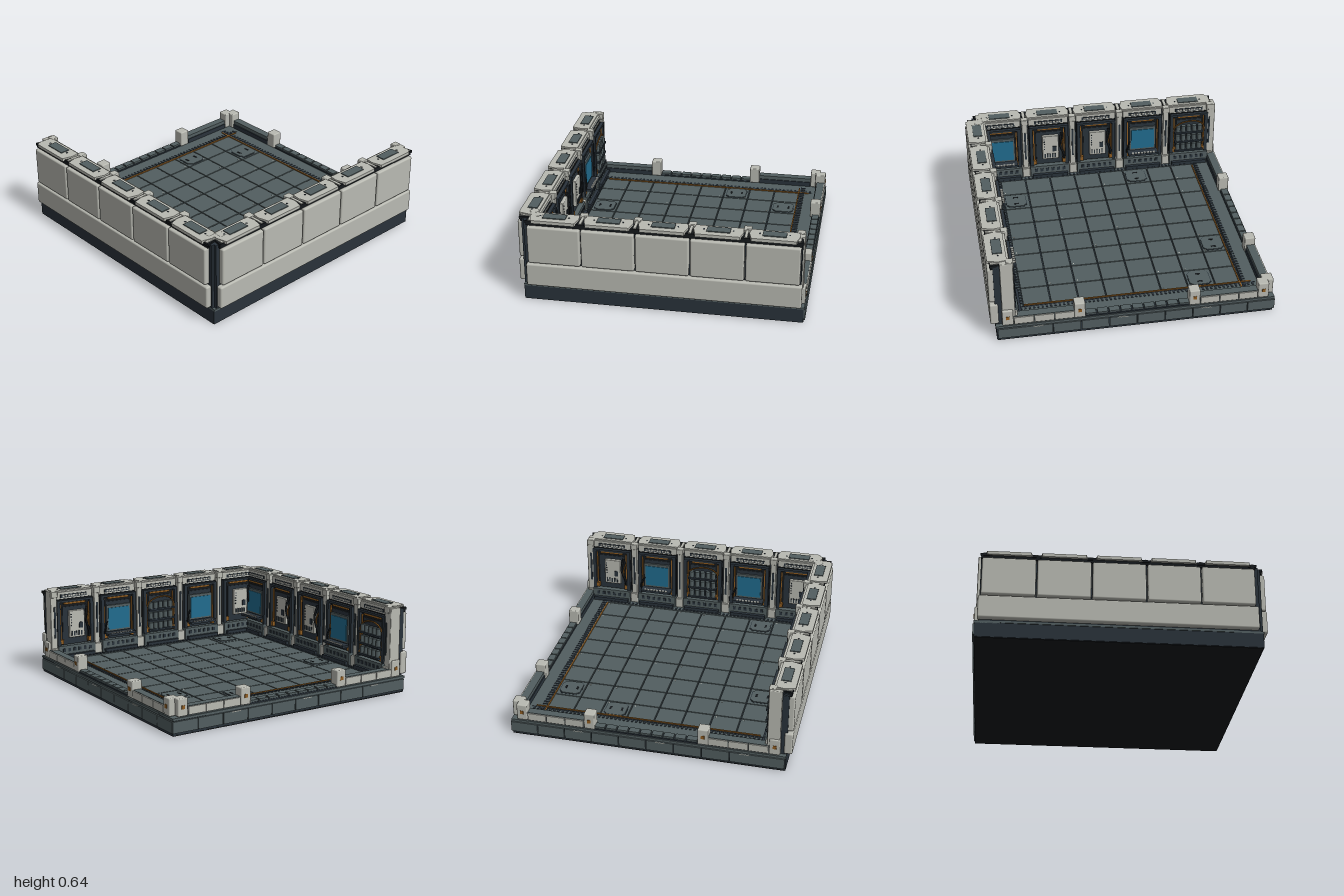
import * as THREE from 'three';
import { RoundedBoxGeometry } from 'three/addons/geometries/RoundedBoxGeometry.js';

const mat = (name, color) => {
  const m = new THREE.MeshStandardMaterial({ color });
  m.name = name;
  return m;
};
const light = mat('paleShell', 0xb9bab2);
const grey = mat('deckGrey', 0x525e60);
const navy = mat('darkFrame', 0x29323a);
const black = mat('blackRubber', 0x15191c);
const orange = mat('orangeCable', 0x8f5d22);
const blue = mat('screenBlue', 0x216c8e);

function add(parent, name, geo, material) {
  const mesh = new THREE.Mesh(geo, material);
  mesh.name = name;
  parent.add(mesh);
  return mesh;
}
// Box between two corners; r > 0 rounds its edges
function box(parent, name, m, x0, x1, y0, y1, z0, z1, r = 0) {
  const w = x1 - x0, h = y1 - y0, d = z1 - z0;
  const geo = r ? new RoundedBoxGeometry(w, h, d, 2, r) : new THREE.BoxGeometry(w, h, d);
  const mesh = add(parent, name, geo, m);
  mesh.position.set((x0 + x1) / 2, (y0 + y1) / 2, (z0 + z1) / 2);
  return mesh;
}
// Flat polygon in plan (x, z), extruded up from y0 to y1
function slab(parent, name, m, pts, y0, y1) {
  const shape = new THREE.Shape(pts.map(([x, z]) => new THREE.Vector2(x, -z)));
  const geo = new THREE.ExtrudeGeometry(shape, { depth: y1 - y0, bevelEnabled: false });
  geo.rotateX(-Math.PI / 2);
  add(parent, name, geo, m).position.y = y0;
}
function cable(parent, name, m, pts, r) {
  const curve = new THREE.CatmullRomCurve3(pts.map(p => new THREE.Vector3(...p)));
  add(parent, name, new THREE.TubeGeometry(curve, 16, r, 6), m);
}

// ---- Bay contents, in wall space: outside is +z, room is toward -z ----
function screenBay(g) {
  box(g, 'screenFrame', grey, -0.105, 0.105, 0.275, 0.48, 0.822, 0.84);
  box(g, 'screen', blue, -0.092, 0.092, 0.29, 0.46, 0.817, 0.822);
  box(g, 'keyboardDesk', navy, -0.12, 0.12, 0.25, 0.268, 0.765, 0.84);
  for (let i = 0; i < 8; i++) {
    const x = -0.084 + i * 0.024;
    box(g, 'key', light, x - 0.008, x + 0.008, 0.268, 0.273, 0.768, 0.785);
  }
  cable(g, 'sideCable', black, [[0.13, 0.23, 0.83], [0.125, 0.3, 0.81], [0.1, 0.36, 0.82]], 0.007);
}
function panelBay(g) {
  box(g, 'cabinetDoor', light, -0.075, 0.055, 0.27, 0.48, 0.812, 0.84, 0.006);
  box(g, 'doorWindow', navy, -0.055, -0.025, 0.34, 0.385, 0.807, 0.812);
  for (let i = 0; i < 5; i++) {
    const x = -0.05 + i * 0.02;
    box(g, 'doorVent', navy, x, x + 0.01, 0.285, 0.32, 0.808, 0.812);
    box(g, 'doorStud', navy, 0.035, 0.043, 0.36 + i * 0.022, 0.368 + i * 0.022, 0.808, 0.812);
  }
  cable(g, 'hangingCable', black, [[-0.1, 0.5, 0.825], [-0.085, 0.4, 0.81], [-0.115, 0.3, 0.82], [-0.11, 0.23, 0.83]], 0.009);
  cable(g, 'orangeHose', orange, [[-0.12, 0.46, 0.83], [-0.1, 0.38, 0.815], [-0.125, 0.26, 0.83]], 0.006);
}
function shelfBay(g) {
  for (let r = 0; r < 3; r++) {
    const y = 0.235 + r * 0.082;
    box(g, 'rackShelf', navy, -0.115, 0.115, y, y + 0.014, 0.795, 0.84);
    for (let i = 0; i < 5; i++) {
      const can = add(g, 'canister', new THREE.CylinderGeometry(0.018, 0.018, 0.05, 10), grey);
      can.position.set(-0.088 + i * 0.044, y + 0.039, 0.818);
    }
  }
  cable(g, 'archCable', orange, [[-0.12, 0.27, 0.825], [-0.115, 0.46, 0.82], [-0.05, 0.5, 0.815],
    [0.06, 0.49, 0.815], [0.115, 0.45, 0.82], [0.12, 0.27, 0.825]], 0.006);
}

function makeWall(name, c, bays) {
  const w = new THREE.Group();
  w.name = name;
  const a = c - 0.94, b = c + 0.94;
  box(w, 'wallCore', navy, a - 0.02 * (c > 0), b + 0.02 * (c < 0), 0.12, 0.612, 0.865, 0.96);
  box(w, 'lowerArmour', light, a - 0.01, b + 0.01, 0.13, 0.297, 0.94, 0.998, 0.012);
  box(w, 'topBand', black, a, b, 0.588, 0.612, 0.9, 0.975);
  bays.forEach((fill, i) => {
    const g = new THREE.Group();
    g.name = 'wallBay';
    g.position.x = c + (i - 2) * 0.375;
    w.add(g);
    // Outer armour and trapezoid roof cap
    box(g, 'upperArmour', light, -0.183, 0.183, 0.307, 0.585, 0.94, 0.998, 0.012);
    slab(g, 'roofCap', light, [[-0.16, 0.86], [0.16, 0.86], [0.17, 0.92], [0.15, 0.993], [-0.15, 0.993], [-0.17, 0.92]], 0.612, 0.635);
    box(g, 'roofPlate', grey, -0.08, 0.08, 0.635, 0.641, 0.882, 0.95);
    for (const x of [-0.1, 0.1]) box(g, 'roofBolt', navy, x - 0.005, x + 0.005, 0.635, 0.638, 0.91, 0.92);
    // Header with slot
    box(g, 'header', light, -0.155, 0.155, 0.572, 0.625, 0.845, 0.87);
    box(g, 'headerSlot', navy, -0.11, 0.11, 0.582, 0.606, 0.84, 0.845);
    for (let k = 0; k < 9; k++) box(g, 'headerLamp', light, -0.098 + k * 0.022, -0.082 + k * 0.022, 0.588, 0.6, 0.836, 0.84);
    // Recess frame and trim
    box(g, 'recessBack', black, -0.155, 0.155, 0.2, 0.572, 0.84, 0.866);
    for (const s of [-1, 1]) {
      box(g, 'recessSide', navy, s * 0.14 - 0.013, s * 0.14 + 0.013, 0.21, 0.565, 0.815, 0.84);
      box(g, 'sideTrim', orange, s * 0.12 - 0.004, s * 0.12 + 0.004, 0.23, 0.53, 0.83, 0.84);
      box(g, 'cornerClamp', orange, s * 0.115 - 0.012, s * 0.115 + 0.012, 0.225, 0.26, 0.815, 0.84);
    }
    box(g, 'recessLintel', navy, -0.127, 0.127, 0.548, 0.565, 0.815, 0.84);
    box(g, 'topTrim', orange, -0.09, 0.09, 0.53, 0.544, 0.825, 0.84);
    box(g, 'innerPlate', navy, -0.1, 0.1, 0.22, 0.51, 0.835, 0.84);
    // Floor console
    box(g, 'console', grey, -0.155, 0.155, 0.12, 0.215, 0.8, 0.866);
    box(g, 'consoleFoot', navy, -0.14, 0.14, 0.12, 0.15, 0.775, 0.8);
    for (let k = 0; k < 6; k++) {
      const x = -0.11 + k * 0.044;
      box(g, 'consoleButton', navy, x - 0.011, x + 0.011, 0.17, 0.195, 0.795, 0.8);
    }
    fill(g);
  });
  // Pillars between bays and at the ends
  for (let i = 0; i < 6; i++) {
    const x = THREE.MathUtils.clamp(c + (i - 2.5) * 0.375, a + 0.025, b - 0.02);
    box(w, 'pillar', light, x - 0.022, x + 0.022, 0.12, 0.625, 0.825, 0.88, 0.006);
    box(w, 'pillarSlot', navy, x - 0.007, x + 0.007, 0.28, 0.52, 0.82, 0.825);
    box(w, 'pillarFoot', light, x - 0.03, x + 0.03, 0.12, 0.2, 0.81, 0.87, 0.006);
    box(w, 'pillarHead', light, x - 0.027, x + 0.027, 0.59, 0.637, 0.82, 0.87, 0.006);
    box(w, 'roofTie', light, x - 0.01, x + 0.01, 0.61, 0.63, 0.86, 0.975);
    slab(w, 'roofClamp', black, [[x - 0.012, 0.9], [x + 0.012, 0.9], [x + 0.03, 0.98], [x - 0.03, 0.98]], 0.605, 0.624);
  }
  // Pale jamb on the free end
  const e = c > 0 ? b : a;
  box(w, 'endJamb', light, e - 0.02, e + 0.012, 0.12, 0.63, 0.825, 0.915, 0.006);
  return w;
}

// Low open edge: side panels, kerb, posts, floor comb; d flips it along its length
function makeEdge(name, d) {
  const g = new THREE.Group();
  g.name = name;
  const span = (n, m, u0, u1, ...rest) => box(g, n, m, Math.min(u0 * d, u1 * d), Math.max(u0 * d, u1 * d), ...rest);
  for (let i = 0; i < 10; i++) {
    const u0 = Math.max(-0.955, -0.965 + i * 0.196);
    span('sidePanel', grey, u0 + 0.003, Math.min(u0 + 0.193, 0.99), 0.022, 0.1, 0.98, 0.996);
    if (i % 3 === 1) span('panelMark', light, u0 + 0.06, u0 + 0.13, 0.093, 0.098, 0.996, 0.998);
  }
  for (const [u0, u1] of [[-0.84, -0.42], [0.46, 0.87]]) {
    span('kerb', grey, u0, u1, 0.12, 0.188, 0.925, 0.982);
    for (let k = 0; k < 3; k++) {
      const s = (u1 - u0) / 3;
      span('kerbPanel', light, u0 + k * s + 0.003, u0 + (k + 1) * s - 0.003, 0.13, 0.184, 0.982, 0.99);
    }
    span('kerbLining', navy, u0, u1, 0.125, 0.16, 0.918, 0.925);
  }
  span('sillBase', navy, -0.35, 0.39, 0.12, 0.132, 0.925, 0.985);
  for (let k = 0; k < 9; k++) span('sillBlock', grey, -0.342 + k * 0.082, -0.27 + k * 0.082, 0.13, 0.146, 0.93, 0.98);
  for (const u of [-0.88, -0.385, 0.42, 0.91]) {
    span('post', light, u - 0.038, u + 0.038, 0.125, 0.247, 0.912, 0.99, 0.008);
    span('postLamp', orange, u - 0.012, u + 0.012, 0.175, 0.2, 0.988, 0.994);
  }
  span('combStrip', navy, -0.78, 0.9, 0.12, 0.124, 0.8, 0.806);
  for (let k = 0; k < 56; k++) span('combTooth', navy, -0.78 + k * 0.03, -0.766 + k * 0.03, 0.12, 0.126, 0.806, 0.835);
  span('floorCable', orange, -0.75, 0.87, 0.12, 0.128, 0.786, 0.795);
  return g;
}

export function createModel() {
  const model = new THREE.Group();
  model.name = 'controlRoom';

  // Base and deck rim
  box(model, 'base', navy, -0.96, 0.985, 0.004, 0.108, -0.985, 0.96);
  box(model, 'underside', black, -0.955, 0.985, 0, 0.01, -0.985, 0.955);
  box(model, 'frontRim', grey, -0.96, 0.99, 0.108, 0.122, 0.757, 0.965);
  box(model, 'backRim', grey, -0.96, 0.99, 0.104, 0.122, -0.992, -0.815);
  box(model, 'leftRim', grey, 0.797, 0.992, 0.104, 0.122, -0.815, 0.757);
  box(model, 'rightRim', grey, -0.965, -0.777, 0.108, 0.122, -0.815, 0.757);

  // Floor tiles
  const floor = new THREE.Group();
  floor.name = 'floor';
  model.add(floor);
  for (let i = 0; i < 8; i++) for (let j = 0; j < 8; j++) {
    const x = -0.774 + i * 0.196, z = -0.812 + j * 0.196;
    box(floor, 'floorTile', grey, x + 0.004, x + 0.192, 0.105, 0.12, z + 0.004, z + 0.192);
    if ((i + j * 3) % 4 < 2) box(floor, 'tileBolt', light, x + 0.168, x + 0.176, 0.12, 0.122, z + 0.17, z + 0.178);
  }
  // Octagonal floor hatches
  for (const [x, z] of [[0.305, -0.705], [0.695, -0.515], [-0.675, -0.315], [-0.485, 0.665]]) {
    const oct = (r, k) => [[-k, -r], [k, -r], [r, -k], [r, k], [k, r], [-k, r], [-r, k], [-r, -k]].map(p => [p[0] + x, p[1] + z]);
    slab(floor, 'hatchRim', navy, oct(0.08, 0.053), 0.12, 0.122);
    slab(floor, 'hatch', grey, oct(0.075, 0.05), 0.122, 0.126);
    for (const s of [-1, 1]) box(floor, 'hatchGrip', black, x + s * 0.042 - 0.007, x + s * 0.042 + 0.007, 0.126, 0.128, z - 0.018, z + 0.018);
  }
  // Dark combs at the foot of the walls
  for (let k = 0; k < 52; k++) {
    const t = -0.77 + k * 0.03;
    box(floor, 'wallComb', navy, t, t + 0.014, 0.12, 0.128, 0.762, 0.79);
    box(floor, 'wallComb', navy, -0.8, -0.772, 0.12, 0.128, t - 0.03, t - 0.016);
  }

  // Tall walls
  model.add(makeWall('frontWall', 0.02, [panelBay, screenBay, shelfBay, screenBay, panelBay]));
  const side = makeWall('rightWall', -0.02, [shelfBay, screenBay, panelBay, panelBay, screenBay]);
  side.rotation.y = -Math.PI / 2;
  model.add(side);

  // Open edges
  const left = makeEdge('leftEdge', 1);
  left.rotation.y = Math.PI / 2;
  const back = makeEdge('backEdge', -1);
  back.rotation.y = Math.PI;
  model.add(left, back);
  return model;
}
